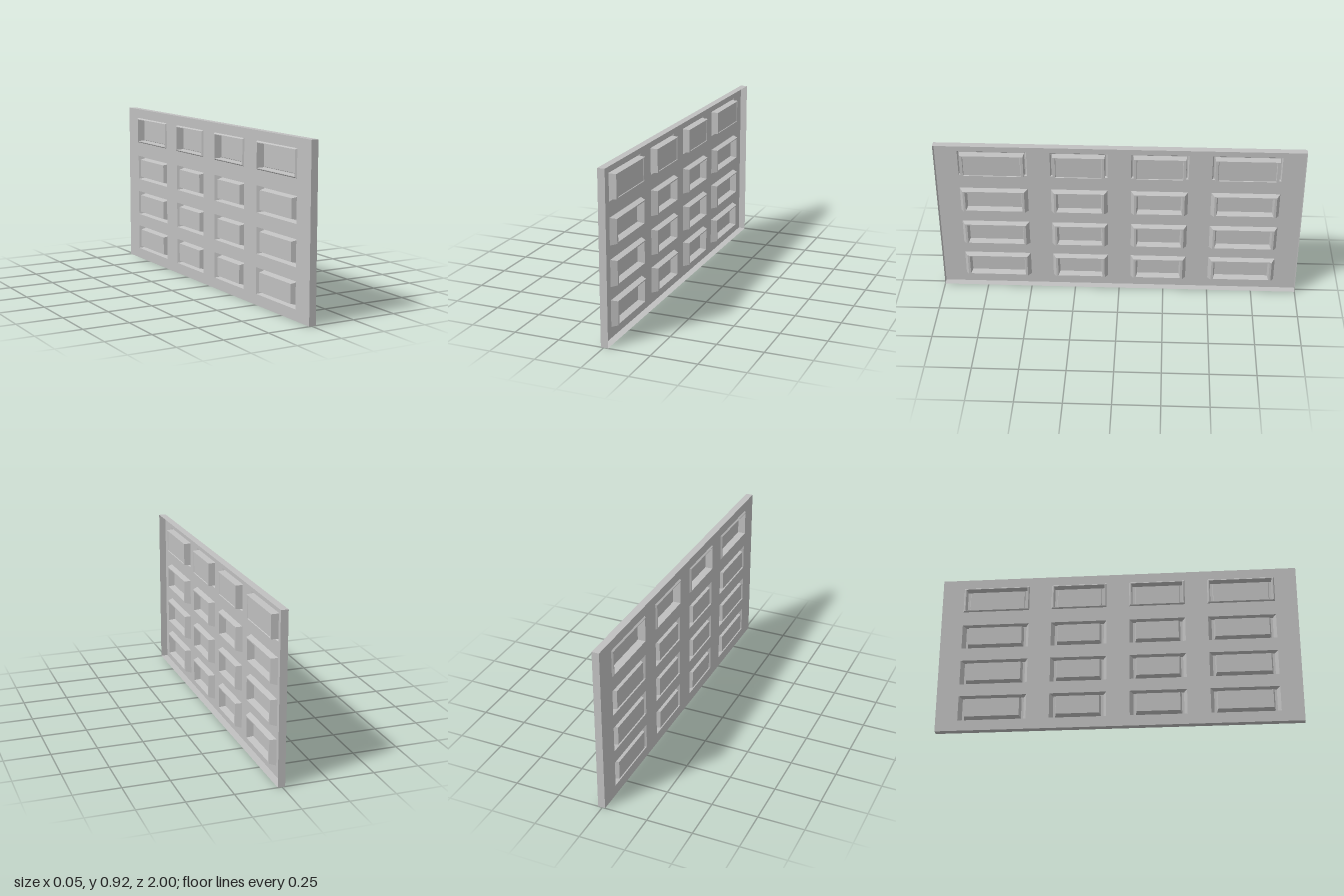
import * as THREE from 'three';

const W = 2, H = 0.92;          // door width (z) and height (y)
const FACE = 0.016, BACK = -0.0235; // outward levels of the sheet and the return edge

const paint = new THREE.MeshStandardMaterial({ color: 0xc0c0c0, side: THREE.DoubleSide });
paint.name = 'greyPaint';

// Concentric rectangles [insetU, insetV, level] joined by flat quads, optionally capped
function steppedRect(w, h, rings, cap) {
  const pos = [];
  const quad = (a, b, c, d) => pos.push(...a, ...b, ...c, ...a, ...c, ...d);
  const loops = rings.map(([iu, iv, z]) => {
    const u = w / 2 - iu, v = h / 2 - iv;
    return [[-u, -v, z], [u, -v, z], [u, v, z], [-u, v, z]];
  });
  for (let r = 0; r < loops.length - 1; r++) {
    for (let i = 0; i < 4; i++) {
      const j = (i + 1) % 4;
      quad(loops[r][i], loops[r][j], loops[r + 1][j], loops[r + 1][i]);
    }
  }
  if (cap) quad(...loops[loops.length - 1]);
  const g = new THREE.BufferGeometry();
  g.setAttribute('position', new THREE.Float32BufferAttribute(pos, 3));
  g.computeVertexNormals();
  return g;
}

function rectPath(path, u, v, w, h) {
  path.moveTo(u - w / 2, v - h / 2);
  path.lineTo(u + w / 2, v - h / 2);
  path.lineTo(u + w / 2, v + h / 2);
  path.lineTo(u - w / 2, v + h / 2);
  path.closePath();
  return path;
}

export function createModel() {
  const model = new THREE.Group();
  model.name = 'panelDoor';
  // Drawn in the xy plane, then turned so the outside faces -x
  const door = new THREE.Group();
  door.name = 'door';
  door.rotation.y = -Math.PI / 2;
  model.add(door);

  const add = (name, geometry, u = 0, v = 0) => {
    const mesh = new THREE.Mesh(geometry, paint);
    mesh.name = name;
    mesh.position.set(u, v, 0);
    door.add(mesh);
  };

  // Pressed panel: sunken groove around a raised field
  const pressed = [[0, 0, FACE], [0.018, 0.007, -0.016], [0.03, 0.013, -0.016], [0.038, 0.02, 0.021]];
  // Window: proud rim around a sunken pane
  const windowRings = [[0, 0, FACE], [0.006, 0.006, 0.0245], [0.012, 0.009, 0.0245],
    [0.016, 0.011, -0.017], [0.03, 0.014, -0.017], [0.033, 0.016, -0.013]];

  const columns = [[-0.69, 0.375], [-0.22, 0.312], [0.22, 0.312], [0.69, 0.375]];
  const rows = [
    { v: 0.131, h: 0.143, rings: pressed, name: 'pressedPanel' },
    { v: 0.345, h: 0.143, rings: pressed, name: 'pressedPanel' },
    { v: 0.563, h: 0.143, rings: pressed, name: 'pressedPanel' },
    { v: 0.792, h: 0.149, rings: windowRings, name: 'windowPanel' },
  ];

  // Face sheet with an opening for each panel
  const sheet = rectPath(new THREE.Shape(), 0, H / 2, W, H);
  for (const { v, h, rings, name } of rows) {
    for (const [u, w] of columns) {
      sheet.holes.push(rectPath(new THREE.Path(), u, v, w, h));
      add(name, steppedRect(w, h, rings, true), u, v);
    }
  }
  add('faceSheet', new THREE.ShapeGeometry(sheet).translate(0, 0, FACE));

  // Folded edge around the open inner side
  add('returnEdge', steppedRect(W, H, [[0, 0, BACK], [0, 0, FACE]], false), 0, H / 2);

  return model;
}
